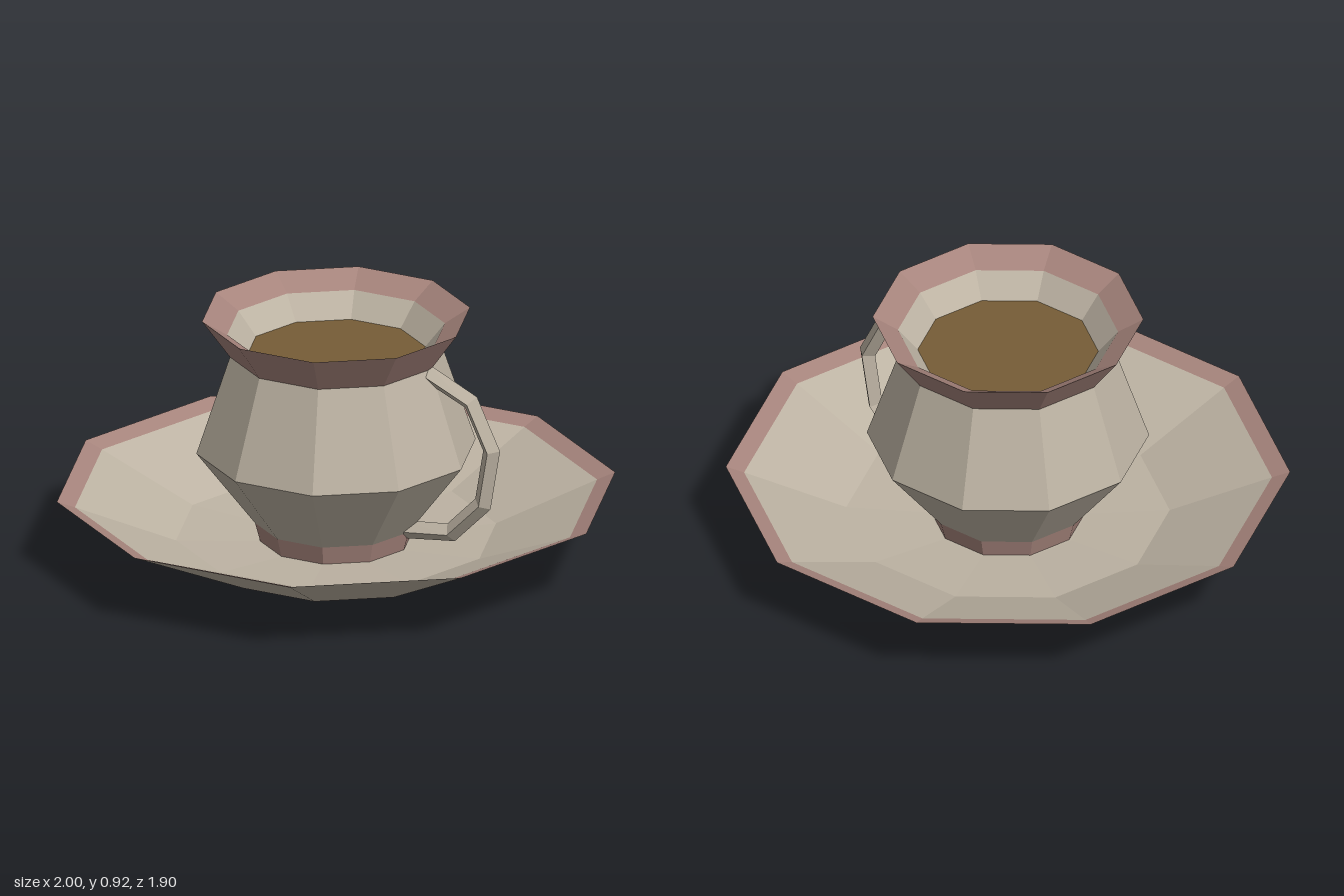
import * as THREE from 'three';

const cream = new THREE.MeshStandardMaterial({ color: 0xbdb3a3 });
cream.name = 'cream';
const rose = new THREE.MeshStandardMaterial({ color: 0xa6847c });
rose.name = 'rose';
const coffee = new THREE.MeshStandardMaterial({ color: 0x765d37 });
coffee.name = 'coffee';

const SIDES = 10;

// Faceted mesh from any geometry
function faceted(name, geometry, material) {
  const flat = geometry.toNonIndexed();
  flat.computeVertexNormals();
  const mesh = new THREE.Mesh(flat, material);
  mesh.name = name;
  return mesh;
}

// Ten-sided turned part; the profile runs up the outside and down the inside
function turned(name, profile, material) {
  const points = profile.map(([r, y]) => new THREE.Vector2(r, y));
  return faceted(name, new THREE.LatheGeometry(points, SIDES, Math.PI / 2), material);
}

function makeSaucer() {
  const saucer = new THREE.Group();
  saucer.name = 'saucer';
  saucer.add(
    turned('saucerBaseCentre', [[0, 0.02], [0.35, 0.02], [0.37, 0]], cream),
    turned('saucerBaseRing', [[0.37, 0], [0.46, 0]], rose),
    turned('saucerUnderside', [[0.46, 0], [1, 0.26]], cream),
    turned('saucerRim', [[1, 0.26], [0.935, 0.236]], rose),
    turned('saucerWell', [[0.935, 0.236], [0.573, 0.09], [0.28, 0.07], [0, 0.07]], cream)
  );
  return saucer;
}

function makeCup() {
  const cup = new THREE.Group();
  cup.name = 'cup';
  cup.add(
    turned('cupFoot', [[0.27, 0.065], [0.29, 0.14]], rose),
    turned('cupBody', [[0.29, 0.14], [0.5, 0.415], [0.38, 0.775]], cream),
    turned('cupRim', [[0.38, 0.775], [0.48, 0.915], [0.39, 0.86]], rose),
    turned('cupLining', [[0.39, 0.86], [0.32, 0.775], [0.31, 0.74]], cream),
    turned('coffeeSurface', [[0.32, 0.775], [0, 0.775]], coffee)
  );

  // Handle: diamond-section bar bent through a few straight runs
  const path = new THREE.CatmullRomCurve3(
    [[0.35, 0.765], [0.54, 0.678], [0.622, 0.507], [0.587, 0.3], [0.46, 0.17], [0.28, 0.15]]
      .map(([x, y]) => new THREE.Vector3(x, y, 0))
  );
  // Sample exactly at the bends
  path.getPointAt = path.getPoint;
  path.getTangentAt = path.getTangent;
  cup.add(faceted('handle', new THREE.TubeGeometry(path, path.points.length - 1, 0.034, 4), cream));
  return cup;
}

export function createModel() {
  const model = new THREE.Group();
  model.name = 'cupAndSaucer';
  model.add(makeSaucer(), makeCup());
  return model;
}
